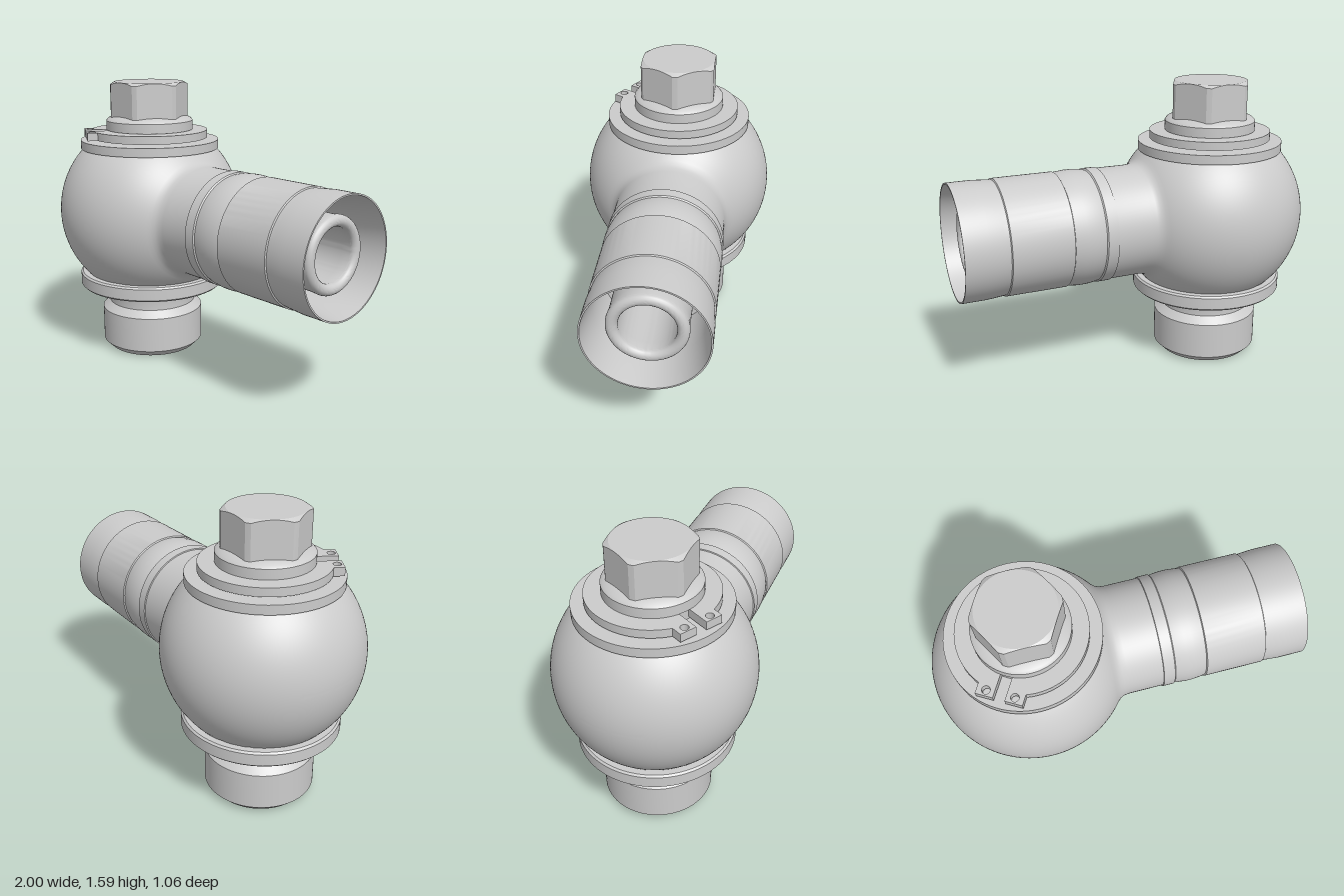
import * as THREE from 'three';
import { toCreasedNormals } from 'three/addons/utils/BufferGeometryUtils.js';

const AXIS_X = -0.47; // vertical bolt axis
const MID_Y = 0.84;   // height of the ball centre and the arm axis
const BALL_R = 0.53;

export function createModel() {
  const group = new THREE.Group();
  const material = new THREE.MeshStandardMaterial({ color: 0xcccccc });

  const add = (name, geometry, x = AXIS_X, y = 0) => {
    const mesh = new THREE.Mesh(geometry, material);
    mesh.name = name;
    mesh.position.set(x, y, 0);
    group.add(mesh);
    return mesh;
  };
  // profile of [radius, height] pairs: up the outside, down the inside
  const lathe = (profile, segments = 80) => toCreasedNormals(
    new THREE.LatheGeometry(profile.map(([r, h]) => new THREE.Vector2(r, h)), segments), 0.5);

  // Ball housing and hose arm: one profile turned about the horizontal axis
  const body = [];
  for (let i = 0; i <= 60; i++) {
    const a = Math.PI - (i / 60) * (Math.PI - 0.68);
    body.push([Math.max(0, BALL_R * Math.sin(a)), AXIS_X + BALL_R * Math.cos(a)]);
  }
  body.push(
    [0.318, -0.04], [0.309, -0.02], [0.305, 0.01], [0.305, 0.198],        // fillet and neck
    [0.311, 0.2], [0.311, 0.26], [0.304, 0.266],                          // narrow band
    [0.309, 0.29], [0.313, 0.33], [0.313, 0.37], [0.308, 0.42], [0.304, 0.436], // bulged band
    [0.311, 0.44], [0.311, 0.764], [0.304, 0.768],                        // long band
    [0.307, 0.8], [0.312, 0.87], [0.312, 1], [0.304, 1],                  // sleeve and lip
    [0.28, 0.8], [0.28, 0.55], [0.195, 0.55], [0.195, 0.86],              // inside of the sleeve
  );
  // rounded tip of the inner nipple
  for (let i = 0; i <= 10; i++) {
    const a = (i / 10) * Math.PI;
    body.push([0.17 + 0.03 * Math.cos(a), 0.91 + 0.03 * Math.sin(a)]);
  }
  body.push([0.15, 0.85], [0.15, -0.22]);
  const bodyGeo = lathe(body, 96);
  bodyGeo.rotateZ(-Math.PI / 2);
  // flatten the ball under the washers
  const p = bodyGeo.attributes.position;
  for (let i = 0; i < p.count; i++) {
    p.setY(i, THREE.MathUtils.clamp(p.getY(i), 0.46 - MID_Y, 1.21 - MID_Y));
  }
  add('ballHousingAndArm', bodyGeo, 0, MID_Y);

  // End of the arm bore with its eight-sided cross hole
  const floor = new THREE.Shape().absarc(0, 0, 0.155, 0, Math.PI * 2);
  const hole = [];
  for (let i = 0; i < 8; i++) {
    const a = ((i + 0.5) / 8) * Math.PI * 2;
    hole.push(new THREE.Vector2(0.08 * Math.cos(a), 0.08 * Math.sin(a)));
  }
  floor.holes.push(new THREE.Path(hole));
  const floorGeo = new THREE.ExtrudeGeometry(floor, { depth: 0.06, bevelEnabled: false, curveSegments: 32 });
  floorGeo.rotateY(Math.PI / 2);
  add('boreFloor', floorGeo, -0.28, MID_Y);
  const backGeo = new THREE.CircleGeometry(0.1, 24);
  backGeo.rotateY(Math.PI / 2);
  add('crossHoleEnd', backGeo, -0.275, MID_Y);

  // Lower stud with its bore
  add('lowerStud', lathe([
    [0.2, 0], [0.26, 0], [0.298, 0.038], [0.298, 0.24], [0.256, 0.28], [0.256, 0.35],
    [0.262, 0.372], [0.28, 0.39], [0.28, 0.46], [0.16, 0.46], [0.16, 0.7],
  ].slice(0, 9)));
  add('studBore', lathe([[0, 0.65], [0.16, 0.65], [0.16, 0.035], [0.2, 0]].reverse().map(([r, h]) => [r, h])));

  // Washers
  add('lowerWasher', lathe([
    [0.25, 0.388], [0.415, 0.388], [0.425, 0.398], [0.425, 0.462], [0.415, 0.472], [0.25, 0.472],
  ]));
  add('upperWasher', lathe([[0.2, 1.205], [0.4, 1.205], [0.4, 1.255], [0.2, 1.255]]));

  // Snap ring with two eyelets beside its gap
  const ring = new THREE.Shape();
  const start = Math.asin(0.12 / 0.335);
  const inner = Math.asin(0.03 / 0.24);
  ring.moveTo(0.37, 0.03);
  ring.lineTo(0.37, 0.12);
  ring.absarc(0, 0, 0.335, start, Math.PI * 2 - start, false);
  ring.lineTo(0.37, -0.12);
  ring.lineTo(0.37, -0.03);
  ring.absarc(0, 0, 0.24, Math.PI * 2 - inner, inner, true);
  ring.closePath();
  for (const side of [-1, 1]) {
    ring.holes.push(new THREE.Path().absarc(0.34, side * 0.073, 0.021, 0, Math.PI * 2, true));
  }
  const ringGeo = new THREE.ExtrudeGeometry(ring, { depth: 0.045, bevelEnabled: false, curveSegments: 48 });
  ringGeo.rotateX(-Math.PI / 2);
  ringGeo.rotateY(-Math.PI * 2 / 3);
  add('snapRing', toCreasedNormals(ringGeo, 0.5), AXIS_X, 1.265);

  // Bolt collar
  add('boltCollar', lathe([
    [0.24, 1.2], [0.24, 1.31], [0.25, 1.312], [0.25, 1.365], [0.238, 1.378], [0.2, 1.392], [0, 1.392],
  ]));

  // Hexagonal bolt head: corners trimmed to a circle, top edge chamfered by a cone
  const positions = [];
  const steps = 96;
  const outline = (i) => {
    const a = (i / steps) * Math.PI * 2;
    const fold = ((a + Math.PI * 2) % (Math.PI / 3)) - Math.PI / 6;
    const r = Math.min(0.2 / Math.cos(fold), 0.223);
    const at = (radius, y) => [radius * Math.cos(a), y, radius * Math.sin(a)];
    return [at(r, 1.37), at(r, 1.585 - (r - 0.198) * 0.6), at(0.198, 1.585), [0, 1.585, 0]];
  };
  for (let i = 0; i < steps; i++) {
    const a = outline(i), b = outline(i + 1);
    for (let k = 0; k < 3; k++) {
      positions.push(...a[k], ...a[k + 1], ...b[k]);
      if (k < 2) positions.push(...b[k], ...a[k + 1], ...b[k + 1]);
    }
  }
  const headGeo = new THREE.BufferGeometry();
  headGeo.setAttribute('position', new THREE.Float32BufferAttribute(positions, 3));
  add('hexHead', toCreasedNormals(headGeo, 0.2));

  return group;
}
